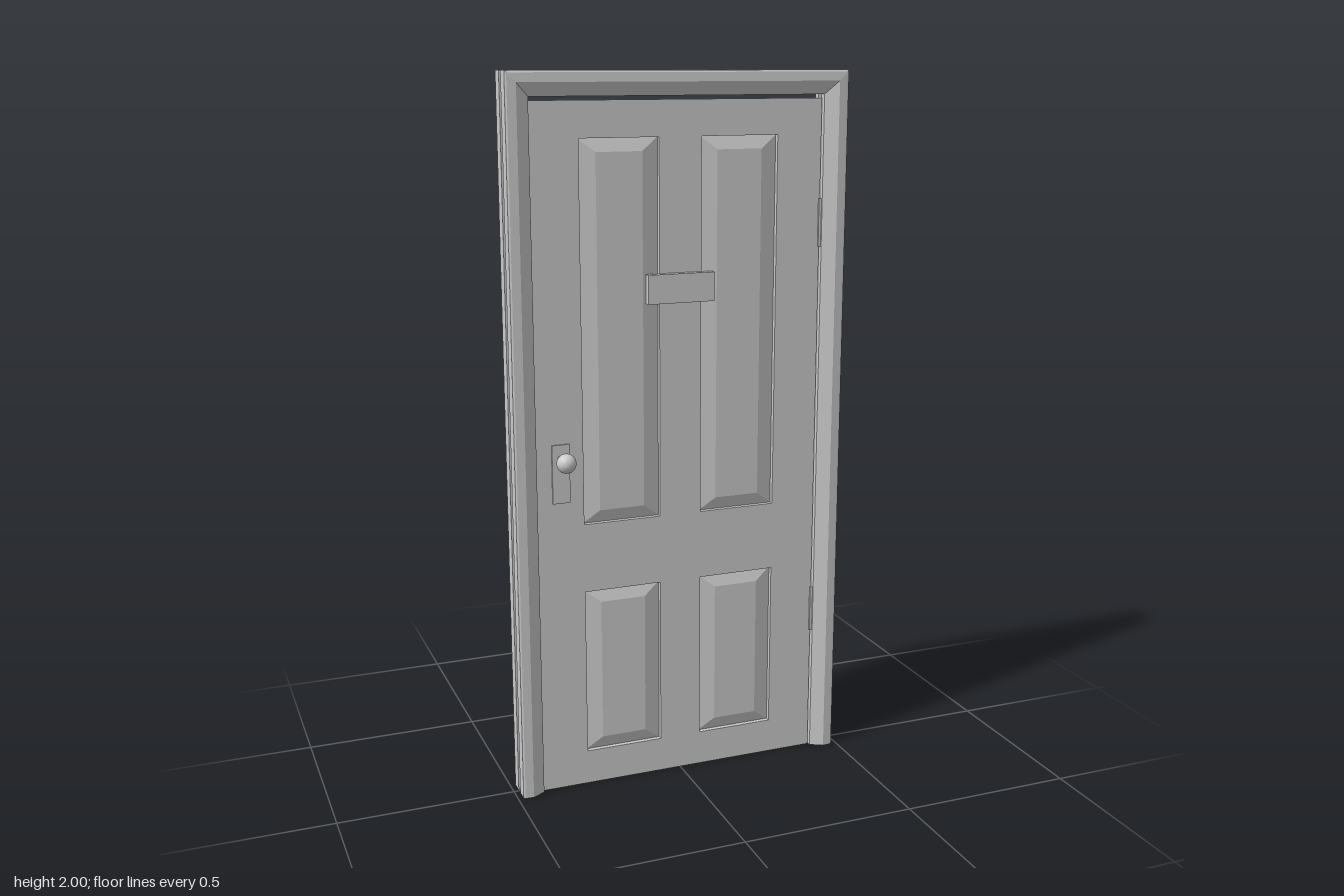
import * as THREE from 'three';

const mat = new THREE.MeshStandardMaterial({ color: 0xcccccc });

function add(parent, name, geometry, x = 0, y = 0, z = 0) {
  const mesh = new THREE.Mesh(geometry, mat);
  mesh.name = name;
  mesh.position.set(x, y, z);
  parent.add(mesh);
  return mesh;
}

// Moulded casing: one profile swept up, across and down with mitred corners
function casingGeometry(innerX, innerY) {
  // [distance out from the opening, z]
  const profile = [[0.065, 0.014], [0.065, 0.049], [0.06, 0.052], [0.036, 0.054], [0, 0.034], [0, 0.014]];
  const stations = [[-1, 0], [-1, 1], [1, 1], [1, 0]].map(([side, top]) =>
    profile.map(([o, z]) => [side * (innerX + o), top * (innerY + o), z]));
  const pos = [];
  const tri = (...corners) => corners.forEach(c => pos.push(...c));
  const n = profile.length;
  for (let s = 0; s < 3; s++) {
    const p = stations[s], q = stations[s + 1];
    for (let i = 0; i < n; i++) {
      const j = (i + 1) % n;
      tri(p[i], p[j], q[j]);
      tri(p[i], q[j], q[i]);
    }
  }
  const first = stations[0], last = stations[3];
  for (let i = 1; i < n - 1; i++) {
    tri(first[0], first[i + 1], first[i]);
    tri(last[0], last[i], last[i + 1]);
  }
  const g = new THREE.BufferGeometry();
  g.setAttribute('position', new THREE.Float32BufferAttribute(pos, 3));
  g.computeVertexNormals();
  return g;
}

// Panel with a raised, bevelled field on both faces
function panelGeometry(w, h) {
  const box = new THREE.BoxGeometry(w, h, 2, 1, 1, 3);
  const p = box.attributes.position;
  for (let i = 0; i < p.count; i++) {
    const z = p.getZ(i);
    if (Math.abs(z) > 0.9) {
      p.setX(i, p.getX(i) - Math.sign(p.getX(i)) * 0.047);
      p.setY(i, p.getY(i) - Math.sign(p.getY(i)) * 0.036);
      p.setZ(i, Math.sign(z) * 0.023);
    } else {
      p.setZ(i, Math.sign(z) * 0.011);
    }
  }
  const g = box.toNonIndexed();
  g.computeVertexNormals();
  return g;
}

function rectangle(target, x0, y0, x1, y1) {
  target.moveTo(x0, y0);
  target.lineTo(x1, y0);
  target.lineTo(x1, y1);
  target.lineTo(x0, y1);
  target.closePath();
  return target;
}

export function createModel() {
  const model = new THREE.Group();
  model.name = 'panelledDoor';

  // Front and back casings, with a narrow slot between them
  const casing = casingGeometry(0.42, 1.935);
  add(model, 'frontCasing', casing);
  add(model, 'backCasing', casing, 0, 0, 0.011).rotation.y = Math.PI;

  // Door leaf with four panel openings
  const half = 0.025;
  const door = new THREE.Group();
  door.name = 'door';
  model.add(door);
  const outline = rectangle(new THREE.Shape(), -0.419, 0, 0.417, 1.925);
  for (const side of [-1, 1]) {
    for (const [y0, y1, label] of [[0.1, 0.583, 'lower'], [0.78, 1.828, 'upper']]) {
      outline.holes.push(rectangle(new THREE.Path(), side * 0.173 - 0.112, y0, side * 0.173 + 0.112, y1));
      add(door, label + (side > 0 ? 'LeftPanel' : 'RightPanel'),
        panelGeometry(0.224, y1 - y0), side * 0.173, (y0 + y1) / 2, 0);
    }
  }
  add(door, 'doorFrame',
    new THREE.ExtrudeGeometry(outline, { depth: half * 2, bevelEnabled: false }), 0, 0, -half);

  // Letter plate on the front
  add(door, 'letterPlate', new THREE.BoxGeometry(0.193, 0.08, 0.02), -0.004, 1.425, half + 0.01);

  // Knob, neck and back plate on each face
  for (const side of [1, -1]) {
    const handle = new THREE.Group();
    handle.name = side > 0 ? 'frontHandle' : 'backHandle';
    handle.position.x = -0.35;
    door.add(handle);
    add(handle, 'handlePlate', new THREE.BoxGeometry(0.05, 0.165, 0.005), 0, 0.932, side * (half + 0.0025));
    add(handle, 'knobNeck', new THREE.CylinderGeometry(0.01, 0.01, 0.045, 20), 0, 0.975, side * 0.045)
      .rotation.x = Math.PI / 2;
    add(handle, 'knob', new THREE.SphereGeometry(0.027, 32, 20), 0, 0.975, side * 0.08);
  }

  // Hinges
  for (const y of [0.44, 1.585]) {
    add(door, 'hinge', new THREE.BoxGeometry(0.009, 0.135, 0.06), 0.417, y, 0);
  }

  return model;
}
